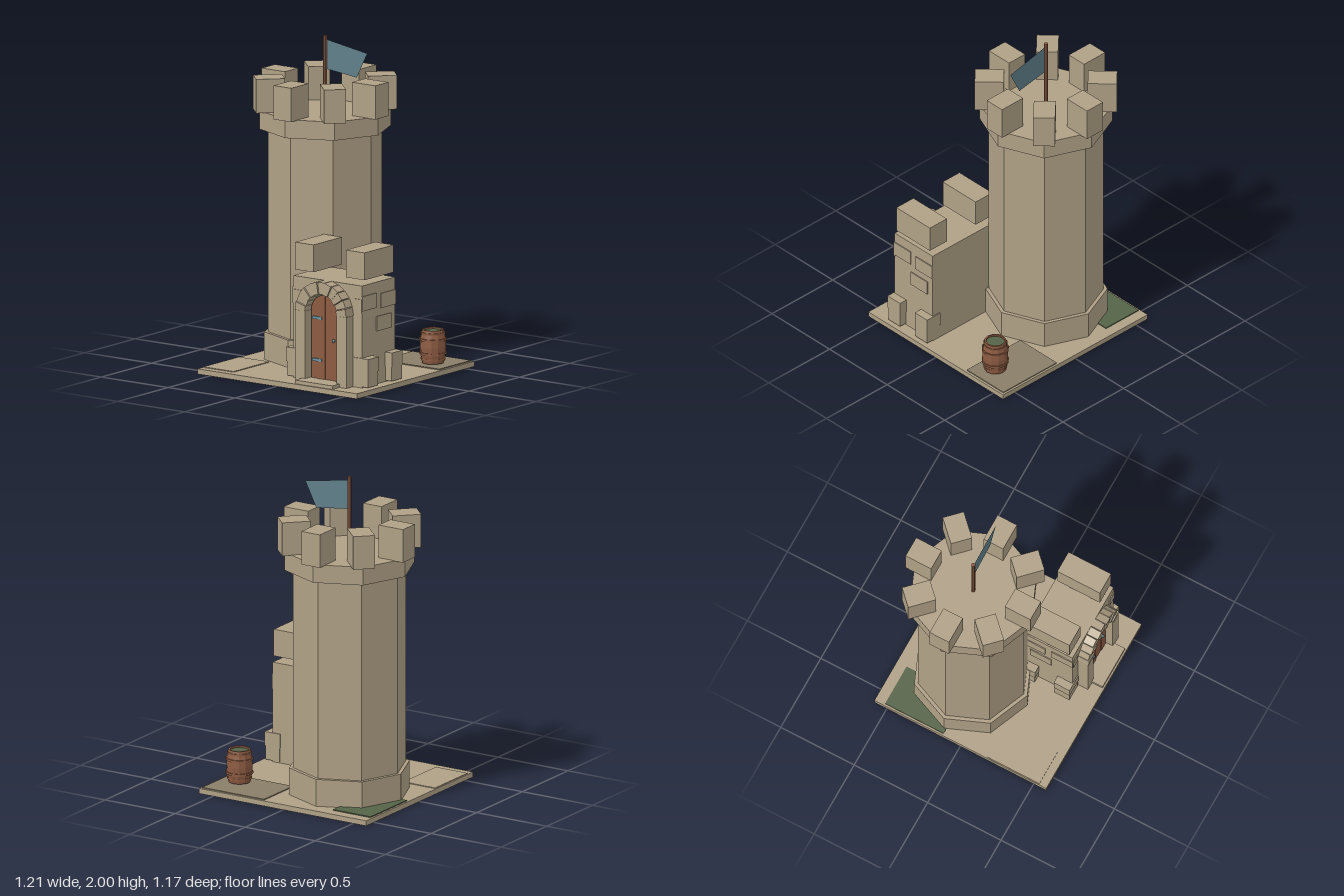
import * as THREE from 'three';

const mat = (name, color) => Object.assign(new THREE.MeshStandardMaterial({ color, flatShading: true }), { name });

export function createModel() {
  const stone = mat('sandstone', 0xb0a186);
  const earth = mat('packed earth', 0x8a7e69);
  const green = mat('moss green', 0x546347);
  const wood = mat('red brown wood', 0x8c5b42);
  const iron = mat('blue iron', 0x6f97a5);
  const cloth = mat('flag blue', 0x5f7f8a);
  cloth.side = THREE.DoubleSide;

  const model = new THREE.Group();
  model.name = 'castleTower';
  const add = (parent, name, geometry, material, x = 0, y = 0, z = 0) => {
    const mesh = new THREE.Mesh(geometry, material);
    mesh.name = name;
    mesh.position.set(x, y, z);
    parent.add(mesh);
    return mesh;
  };
  // Box given by its minimum and maximum on each axis
  const block = (parent, name, material, x0, x1, y0, y1, z0, z1) =>
    add(parent, name, new THREE.BoxGeometry(x1 - x0, y1 - y0, z1 - z0), material,
      (x0 + x1) / 2, (y0 + y1) / 2, (z0 + z1) / 2);
  const extrude = (points, depth) => new THREE.ExtrudeGeometry(
    new THREE.Shape(points.map(([x, y]) => new THREE.Vector2(x, y))), { depth, bevelEnabled: false });
  const group = (name, x = 0, y = 0, z = 0) => {
    const g = new THREE.Group();
    g.name = name;
    g.position.set(x, y, z);
    model.add(g);
    return g;
  };

  // Ground slab and thin patches
  block(model, 'groundSlab', stone, -0.592, 0.6, 0, 0.032, -0.585, 0.585);
  block(model, 'mossPatch', green, -0.58, -0.312, 0.03, 0.038, -0.518, -0.12);
  block(model, 'earthPatch', earth, 0.145, 0.585, 0.03, 0.038, -0.572, -0.255);
  block(model, 'pavingPatch', stone, -0.586, -0.36, 0.03, 0.037, 0.18, 0.535);

  // Octagonal tower
  const tower = group('tower', -0.18, 0, -0.136);
  const drum = (name, r, y0, y1) =>
    add(tower, name, new THREE.CylinderGeometry(r, r, y1 - y0, 8), stone, 0, (y0 + y1) / 2, 0);
  drum('plinth', 0.368, 0.03, 0.2);
  drum('shaft', 0.345, 0.03, 1.46);
  drum('parapet', 0.397, 1.44, 1.553);
  for (let i = 0; i < 8; i++) {
    const a = i * Math.PI / 4;
    const merlon = add(tower, 'merlon', new THREE.BoxGeometry(0.132, 0.207, 0.174), stone,
      Math.sin(a) * 0.338, 1.654, Math.cos(a) * 0.338);
    merlon.rotation.y = a;
  }

  // Flag, sweeping slightly forward and back of the pole
  add(tower, 'flagPole', new THREE.CylinderGeometry(0.0125, 0.0125, 0.45, 8), wood, 0, 1.775, 0);
  const flag = add(tower, 'flag', new THREE.ShapeGeometry(new THREE.Shape([
    new THREE.Vector2(0.01, 1.797), new THREE.Vector2(0.23, 1.77),
    new THREE.Vector2(0.306, 1.926), new THREE.Vector2(0.01, 1.978)])), cloth);
  flag.rotation.y = 0.045;

  // Gatehouse body and its raised merlons
  const gate = group('gatehouse');
  block(gate, 'gateWall', stone, 0.012, 0.525, 0.03, 0.655, 0.105, 0.435);
  block(gate, 'gateMerlon', stone, 0.01, 0.148, 0.688, 0.855, 0.13, 0.415);
  block(gate, 'gateMerlon', stone, 0.39, 0.53, 0.688, 0.855, 0.125, 0.415);

  // Corner stones stacked in pairs, mirrored about the gate axis
  const cx = 0.27;
  for (const s of [-1, 1]) {
    for (const z of [0.152, 0.388]) {
      for (const [y, w] of [[0.083, 0.1], [0.17, 0.108]]) {
        add(gate, 'cornerStone', new THREE.BoxGeometry(w, 0.087, w), stone, cx + s * 0.253, y, z);
      }
    }
    // Shallow wall bricks
    for (const [y, z] of [[0.545, 0.365], [0.4, 0.22], [0.535, 0.178]]) {
      add(gate, 'wallBrick', new THREE.BoxGeometry(0.012, 0.09, 0.145), stone, cx - 0.0015 + s * 0.2565, y, z);
    }
    add(gate, 'wallBrick', new THREE.BoxGeometry(0.06, 0.085, 0.012), stone, cx + s * 0.228, 0.53, 0.435);
    // Door jambs
    block(gate, 'doorJamb', stone, s < 0 ? 0.08 : 0.388, s < 0 ? 0.152 : 0.46, 0.03, 0.465, 0.43, 0.503);
  }

  // Arch of wedge stones
  const archY = 0.465, count = 11;
  for (let i = 0; i < count; i++) {
    const a0 = Math.PI * (i + 0.04) / count, a1 = Math.PI * (i + 0.96) / count;
    const at = (r, a) => [cx + r * Math.cos(a), archY + r * Math.sin(a)];
    add(gate, 'archStone', extrude([at(0.118, a0), at(0.192, a0), at(0.192, a1), at(0.118, a1)],
      i % 2 ? 0.07 : 0.077), stone, 0, 0, 0.432);
  }

  // Round-topped upright panel between x0 and x1
  const arched = (x0, x1, r, depth) => {
    const points = [[x0, 0.045], [x1, 0.045]];
    for (let i = 0; i <= 6; i++) {
      const x = x1 + (x0 - x1) * i / 6;
      points.push([x, 0.458 + Math.sqrt(Math.max(0, r * r - (x - cx) ** 2))]);
    }
    return extrude(points, depth);
  };
  add(gate, 'doorRecess', arched(0.148, 0.392, 0.122, 0.008), green, 0, 0, 0.432);
  const edges = [0.162, 0.212, 0.267, 0.33, 0.382];
  for (let i = 0; i < 4; i++) {
    add(gate, 'doorPlank', arched(edges[i] + 0.001, edges[i + 1] - 0.001, 0.112, i % 2 ? 0.022 : 0.018),
      wood, 0, 0, 0.436);
  }
  for (const y of [0.168, 0.425]) block(gate, 'hinge', iron, 0.175, 0.245, y - 0.008, y + 0.008, 0.452, 0.464);
  add(gate, 'doorKnob', new THREE.SphereGeometry(0.011, 8, 6), iron, 0.335, 0.3, 0.464);
  block(gate, 'doorStep', stone, 0.13, 0.41, 0.03, 0.054, 0.43, 0.575);

  // Barrel with bulging staves, hoops and a sunken lid
  const barrel = group('barrel', 0.455, 0.038, -0.365);
  const lathe = (points) => new THREE.LatheGeometry(points.map(([r, y]) => new THREE.Vector2(r, y)), 12);
  add(barrel, 'staves', lathe([[0, 0.006], [0.066, 0.006], [0.076, 0.055], [0.079, 0.107], [0.076, 0.16],
    [0.066, 0.21], [0.056, 0.21], [0.056, 0.19]]), wood);
  for (const [r, y] of [[0.074, 0.025], [0.083, 0.06], [0.083, 0.145], [0.074, 0.182]]) {
    add(barrel, 'hoop', lathe([[r - 0.012, y], [r, y], [r, y + 0.013], [r - 0.012, y + 0.013]]), wood);
  }
  add(barrel, 'lid', new THREE.CylinderGeometry(0.057, 0.057, 0.008, 12), green, 0, 0.196, 0);

  return model;
}
